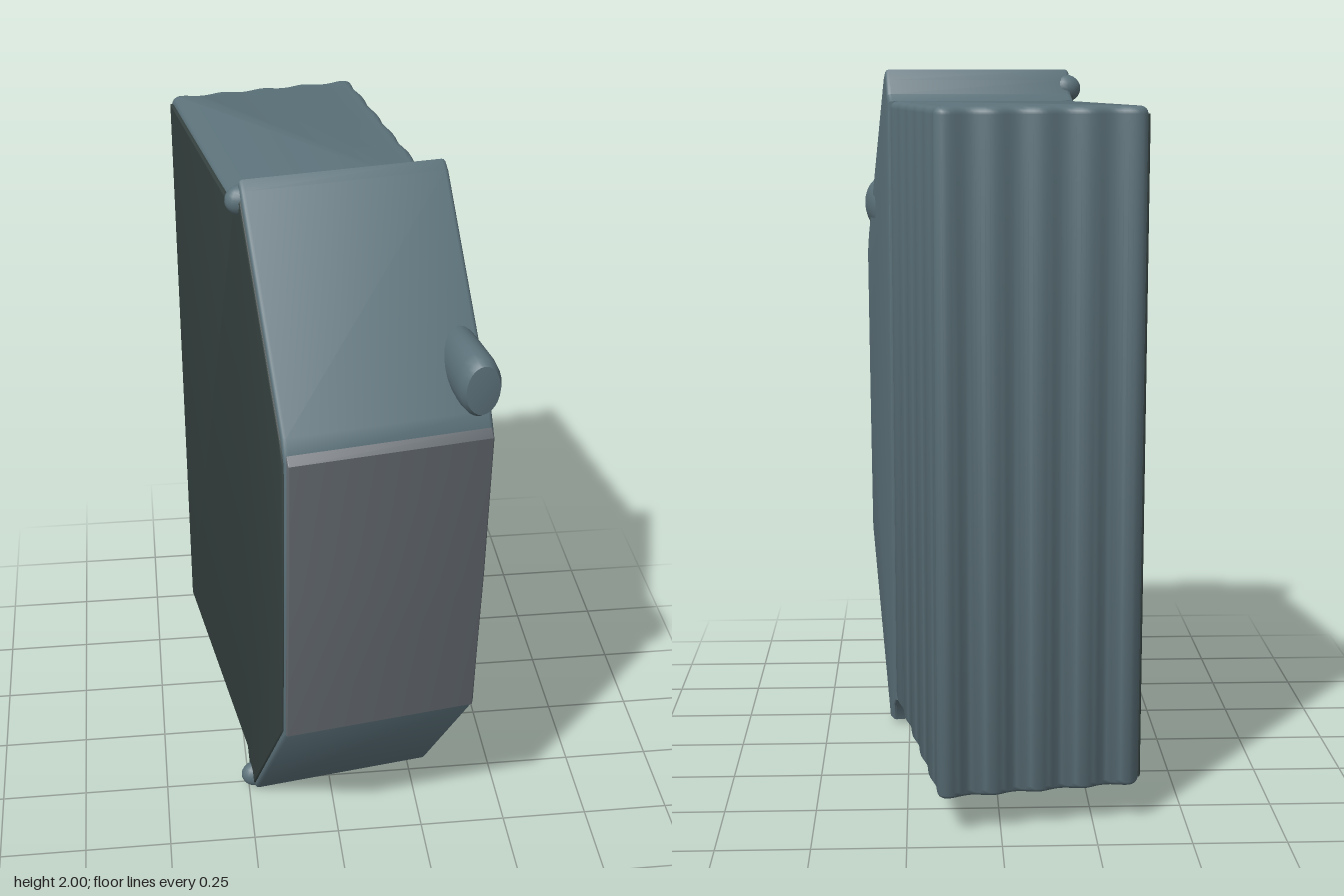
import * as THREE from 'three';
import { toCreasedNormals } from 'three/addons/utils/BufferGeometryUtils.js';

const HALF = 0.275;   // half width of the slab
const BACK = -0.665;  // rear face
const TURN = 0.157;   // the whole slab is turned slightly about y

const mat = (color) => new THREE.MeshStandardMaterial({ color });
const slate = mat(0x5c727a);
const dark = mat(0x35413f);
const panelGrey = mat(0x62686e);

function addMesh(parent, name, geometry, material) {
  const mesh = new THREE.Mesh(toCreasedNormals(geometry, 0.7), material);
  mesh.name = name;
  parent.add(mesh);
  return mesh;
}

// Extrudes a side outline given as [z, y] points between x0 and x1
function sideExtrude(points, x0, x1, bevel) {
  const shape = new THREE.Shape(points.map(([z, y]) => new THREE.Vector2(z, y)));
  const g = new THREE.ExtrudeGeometry(shape, {
    depth: x1 - x0 - 2 * bevel, bevelEnabled: bevel > 0,
    bevelSize: bevel, bevelThickness: bevel, bevelOffset: -bevel, bevelSegments: 3,
  });
  g.rotateY(-Math.PI / 2);
  g.translate(x1 - bevel, 0, 0);
  return g;
}

// Rear block: horizontal section with ridged back and faintly rippled sides
function rearBlock() {
  const pts = [];
  const front = 0.24, r = 0.03, n = 40;
  const ripple = (z) => 0.003 * (Math.cos((z - BACK) * 42) - 1);
  const corner = (cx, cz, start) => {
    for (let i = 1; i < 4; i++) {
      const a = start + (i / 4) * Math.PI / 2;
      pts.push(new THREE.Vector2(cx + r * Math.cos(a), -cz + r * Math.sin(a)));
    }
  };
  pts.push(new THREE.Vector2(-HALF, -front), new THREE.Vector2(HALF, -front));
  for (let i = 1; i <= n; i++) {
    const z = front + (BACK + r - front) * (i / n);
    pts.push(new THREE.Vector2(HALF + ripple(z), -z));
  }
  corner(HALF - r, BACK + r, 0);
  for (let i = 0; i <= n; i++) {
    const t = i / n;
    const x = (HALF - r) * (1 - 2 * t);
    const groove = 0.007 * (1 - Math.cos(t * Math.PI * 8));
    pts.push(new THREE.Vector2(x, -(BACK + groove)));
  }
  corner(-HALF + r, BACK + r, Math.PI / 2);
  for (let i = 0; i < n; i++) {
    const z = BACK + r + (front - BACK - r) * (i / n);
    pts.push(new THREE.Vector2(-HALF + 0.004, -z));
  }
  const b = 0.02;
  const g = new THREE.ExtrudeGeometry(new THREE.Shape(pts), {
    depth: 1.8 - 2 * b, bevelEnabled: true, bevelSize: b, bevelThickness: b,
    bevelOffset: -b, bevelSegments: 4,
  });
  g.rotateX(-Math.PI / 2);
  g.translate(0, 0.11 + b, 0);
  return g;
}

export function createModel() {
  const model = new THREE.Group();
  model.name = 'facetedSlab';
  const body = new THREE.Group();
  body.name = 'body';
  body.rotation.y = TURN;
  model.add(body);

  addMesh(body, 'rearBlock', rearBlock(), slate);

  // Front section with sloped top and bottom and projecting tips
  const nose = [
    [0.15, 0.1], [0.185, 0.07], [0.2, 0.02], [0.25, 0.01], [0.635, 0.53],
    [0.662, 1.0], [0.68, 1.43], [0.65, 1.49], [0.255, 1.98], [0.225, 2],
    [0.2, 1.97], [0.185, 1.93], [0.15, 1.91],
  ];
  addMesh(body, 'frontSection', sideExtrude(nose, -HALF, HALF, 0.012), slate);

  // Raised front panel
  const panel = [[0.62, 0.53], [0.638, 0.53], [0.672, 1.0], [0.69, 1.43], [0.67, 1.45], [0.64, 1.4]];
  addMesh(body, 'frontPanel', sideExtrude(panel, -HALF + 0.005, HALF - 0.005, 0.004), panelGrey);

  // Dark left-hand cover following the whole side outline
  const cover = [
    [BACK + 0.02, 0.13], [0.18, 0.12], [0.215, 0.03], [0.25, 0.03], [0.625, 0.54],
    [0.652, 1.0], [0.668, 1.42], [0.64, 1.48], [0.25, 1.96], [0.215, 1.97],
    [0.18, 1.9], [BACK + 0.02, 1.89],
  ];
  addMesh(body, 'sideCover', sideExtrude(cover, -HALF - 0.005, -HALF + 0.015, 0.004), dark);

  // Small outward tips at the ends of the upper and lower ridges
  for (const y of [0.045, 1.945]) {
    const tip = addMesh(body, 'ridgeTip', new THREE.SphereGeometry(1, 16, 12), slate);
    tip.scale.set(0.045, 0.04, 0.035);
    tip.position.set(-HALF + 0.01, y, 0.222);
  }

  // Oval peg on the upper right corner, running front to back
  const peg = new THREE.LatheGeometry([
    [0, 0.44], [0.7, 0.44], [0.97, 0.48], [1, 0.66], [0.95, 0.69], [0.8, 0.708], [0, 0.715],
  ].map(([r, z]) => new THREE.Vector2(r, z)), 24);
  peg.rotateX(Math.PI / 2);
  peg.scale(0.056, 0.085, 1);
  peg.translate(0.226, 1.582, 0);
  addMesh(body, 'peg', peg, slate);

  return model;
}
